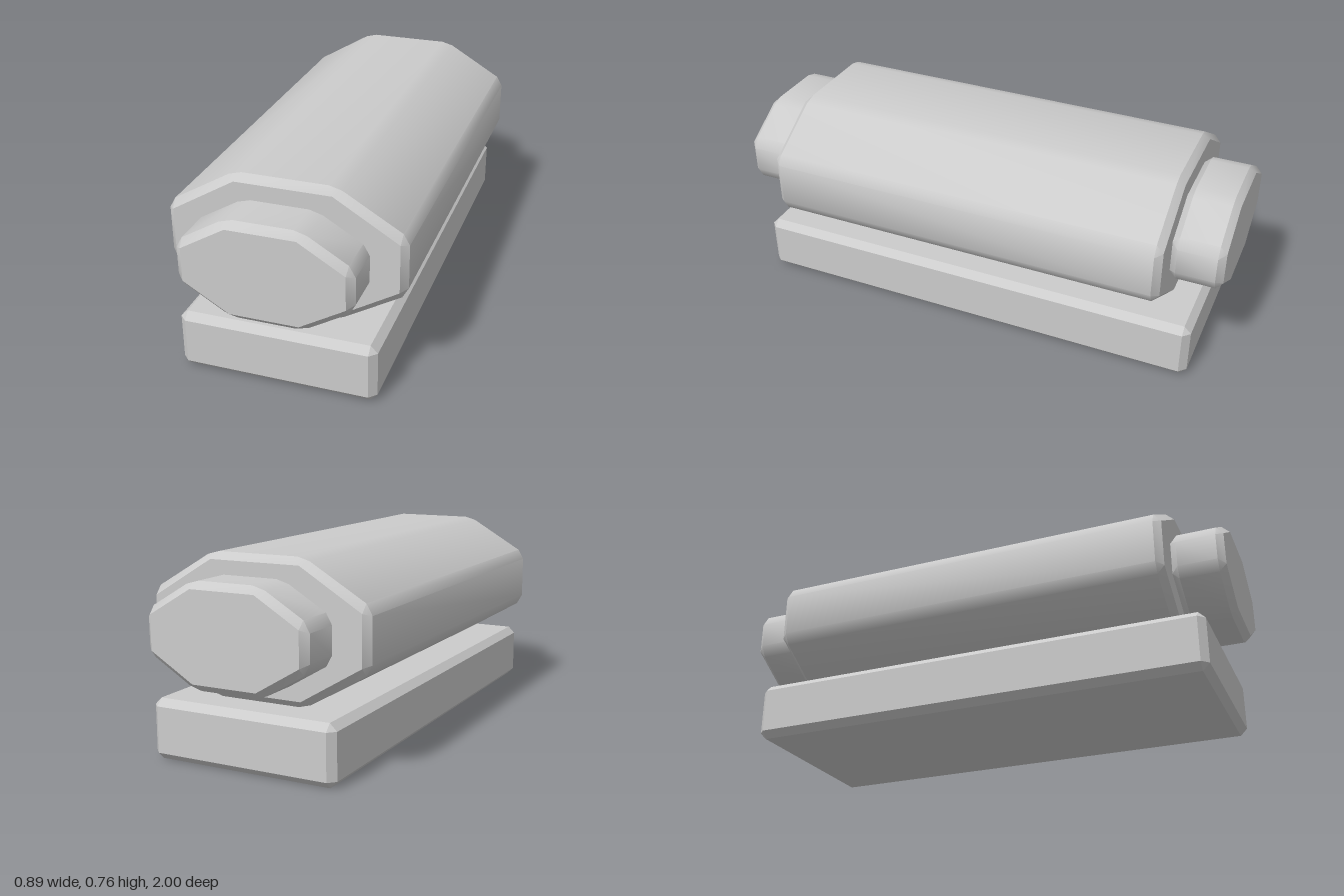
import * as THREE from 'three';
import { toCreasedNormals } from 'three/addons/utils/BufferGeometryUtils.js';

// Mirror one quadrant of an outline (from +x round to +y) into a closed ring
function mirrorRing(q) {
  const r = [...q].reverse();
  return [
    ...q,
    ...r.map(([x, y]) => [-x, y]),
    ...q.map(([x, y]) => [-x, -y]),
    ...r.map(([x, y]) => [x, -y]),
  ];
}

// Prism along z with bevelled rims: each end face is the smaller outline,
// in which both ends of a corner chamfer meet in one point
function bevelledPrism(outer, inner, depth, bevel) {
  const big = mirrorRing(outer);
  const small = mirrorRing(inner.flatMap((p) => Array(outer.length / inner.length).fill(p)));
  const h = depth / 2;
  const rings = [[small, -h], [big, -h + bevel], [big, h - bevel], [small, h]]
    .map(([ring, z]) => ring.map(([x, y]) => new THREE.Vector3(x, y, z)));
  const points = [];
  const tri = (a, b, c) => {
    if (!a.equals(b) && !b.equals(c) && !c.equals(a)) points.push(a, b, c);
  };
  const n = big.length;
  const back = new THREE.Vector3(0, 0, -h);
  const front = new THREE.Vector3(0, 0, h);
  for (let i = 0; i < n; i++) {
    const j = (i + 1) % n;
    for (let k = 0; k < 3; k++) {
      const a = rings[k], b = rings[k + 1];
      tri(a[i], a[j], b[j]);
      tri(a[i], b[j], b[i]);
    }
    tri(back, rings[0][j], rings[0][i]);
    tri(front, rings[3][i], rings[3][j]);
  }
  const geometry = new THREE.BufferGeometry().setFromPoints(points);
  return toCreasedNormals(geometry, 0.6);
}

export function createModel() {
  const group = new THREE.Group();
  const material = new THREE.MeshStandardMaterial({ color: 0xcccccc });
  const add = (name, geometry, y, z = 0) => {
    const mesh = new THREE.Mesh(geometry, material);
    mesh.name = name;
    mesh.position.set(0, y, z);
    group.add(mesh);
  };
  const axisY = 0.4925;

  // Rectangular base with chamfered edges, built upright
  const base = bevelledPrism(
    [[0.373, 0.89], [0.346, 0.917]], [[0.346, 0.89]], 0.228, 0.027);
  base.rotateX(-Math.PI / 2);
  add('base', base, 0.114);

  // Long flattened octagonal body
  add('body', bevelledPrism(
    [[0.445, 0.084], [0.422, 0.1245], [0.207, 0.2515], [0.16, 0.2645]],
    [[0.42, 0.093], [0.18, 0.238]], 1.6, 0.027), axisY);

  // Smaller octagonal cap at each end
  const cap = bevelledPrism(
    [[0.321, 0.051], [0.298, 0.0925], [0.156, 0.177], [0.107, 0.191]],
    [[0.295, 0.064], [0.127, 0.1645]], 0.2, 0.026);
  add('frontCap', cap, axisY, 0.9);
  add('backCap', cap, axisY, -0.9);

  return group;
}
